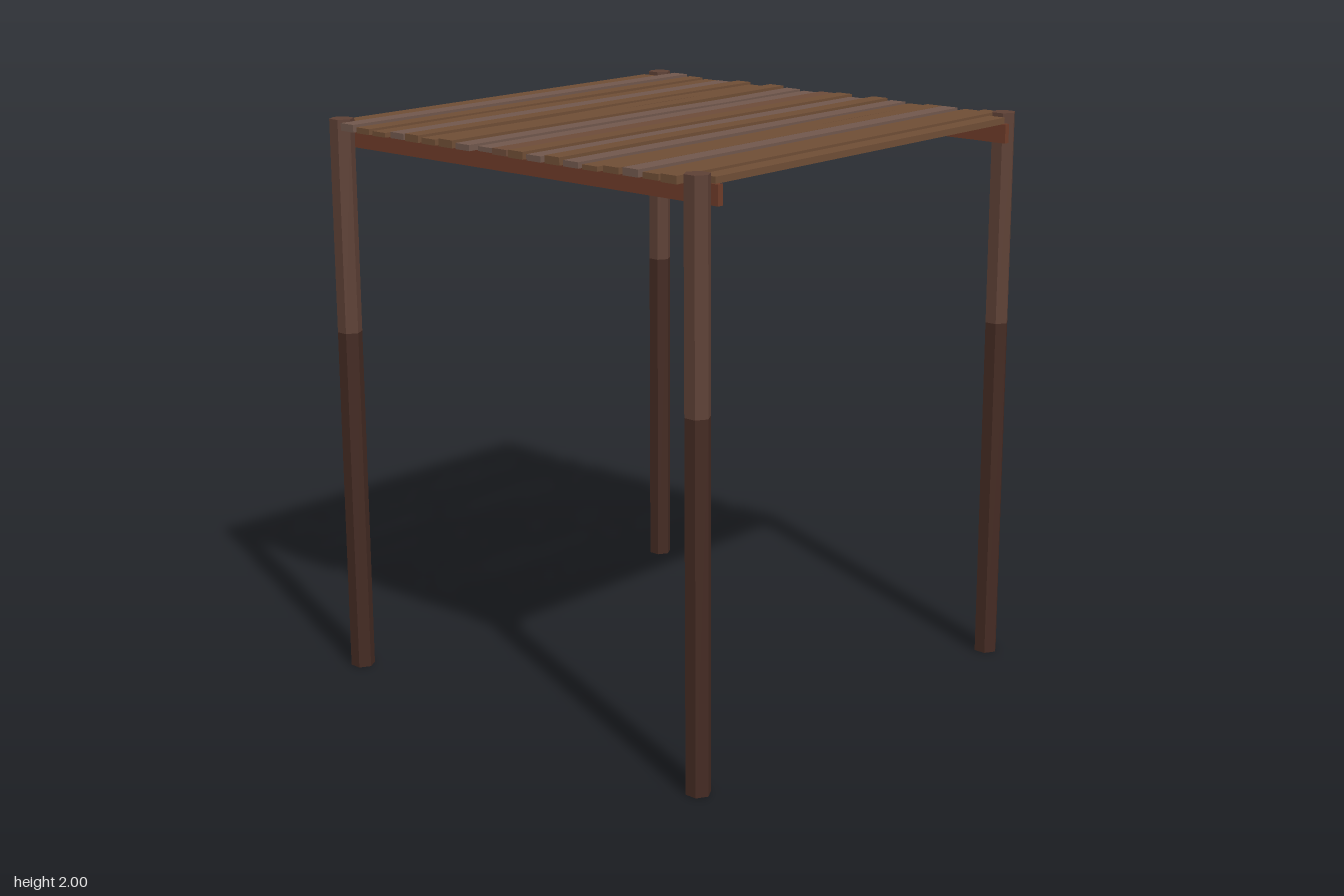
import * as THREE from 'three';

const mat = (color) => new THREE.MeshStandardMaterial({ color, flatShading: true });
const BROWN = mat(0x6e4d35), GREY = mat(0x70574c), UMBER = mat(0x6c4b39);
const POST_TOP = mat(0x5d4035), POST_BASE = mat(0x432a22), BEAM = mat(0x6d3b28);

function add(parent, name, geometry, material, x, y, z) {
  const mesh = new THREE.Mesh(geometry, material);
  mesh.name = name;
  mesh.position.set(x, y, z);
  parent.add(mesh);
  return mesh;
}

// Move every vertex of a geometry by a rule
function bend(geometry, rule) {
  const p = geometry.attributes.position;
  const v = new THREE.Vector3();
  for (let i = 0; i < p.count; i++) {
    v.fromBufferAttribute(p, i);
    rule(v);
    p.setXYZ(i, v.x, v.y, v.z);
  }
  geometry.computeVertexNormals();
  return geometry;
}

// Hexagonal post in a dark lower and a lighter upper section, leaning slightly
function post(parent, name, x, zBase, zTop) {
  const group = new THREE.Group();
  group.name = name;
  for (const [part, y0, y1, material] of [
    ['postBase', 0, 1.25, POST_BASE],
    ['postTop', 1.25, 2, POST_TOP],
  ]) {
    const h = y1 - y0, mid = (y0 + y1) / 2;
    const geo = bend(new THREE.CylinderGeometry(0.043, 0.043, h, 6, 1), (v) => {
      v.z += zBase + (zTop - zBase) * (v.y + mid) / 2;
    });
    add(group, part, geo, material, x, mid, 0);
  }
  parent.add(group);
}

export function createModel() {
  const model = new THREE.Group();
  model.name = 'pergola';

  // Four corner posts
  post(model, 'frontRightPost', -0.813, 0.811, 0.8);
  post(model, 'frontLeftPost', 0.81, 0.811, 0.8);
  post(model, 'backRightPost', -0.813, -0.811, -0.809);
  post(model, 'backLeftPost', 0.81, -0.811, -0.809);

  // Side rails along z, and one cross beam under the middle
  const rail = new THREE.BoxGeometry(0.022, 0.066, 1.7);
  add(model, 'rightRail', rail, BEAM, -0.765, 1.932, 0).rotation.x = -0.002;
  add(model, 'leftRail', rail, BEAM, 0.76, 1.932, 0).rotation.x = -0.002;
  add(model, 'crossBeam', new THREE.BoxGeometry(1.51, 0.058, 0.022), BEAM, 0, 1.935, 0)
    .rotation.z = 0.003;

  // Roof slats from back to front: some greyer, some cut short, some warped
  const greys = [1, 4, 8, 9, 12, 14, 17];
  const ends = {
    0: [-0.77, 0.765], 4: [-0.845, 0.832], 6: [-0.853, 0.83], 9: [-0.83, 0.853],
    10: [-0.845, 0.853], 12: [-0.853, 0.82], 16: [-0.845, 0.853],
    17: [-0.845, 0.832], 18: [-0.843, 0.853], 20: [-0.77, 0.765],
  };
  const warps = {
    3: (x) => -0.008 * Math.sin(4.5 * (0.05 - x)),
    6: (x) => 0.012 * Math.sin(4 * (-0.03 - x)),
    7: (x) => 0.007 * Math.cos(2.6 * x),
    8: (x) => 0.011 * Math.exp(-(((x - 0.5) / 0.25) ** 2)),
    13: (x) => -0.006 * Math.sin(3.6 * -x),
    15: (x) => 0.008 * Math.sin(4 * (0.15 - x)),
  };
  const thickness = [0.02, 0.025, 0.021, 0.016, 0.02, 0.026];
  const slats = new THREE.Group();
  slats.name = 'roofSlats';
  for (let i = 0; i < 21; i++) {
    const [x0, x1] = ends[i] || [-0.853, 0.853];
    const t = i % 20 === 0 ? 0.022 : thickness[(i * 5) % 6];
    const mid = (x0 + x1) / 2;
    const warp = warps[i];
    const geo = new THREE.BoxGeometry(x1 - x0, t, 0.064, warp ? 16 : 1, 1, 1);
    if (warp) {
      bend(geo, (v) => {
        const fade = 1 - Math.pow(Math.abs(v.x) / 0.853, 3);
        v.z += warp(v.x + mid) * fade;
      });
    }
    const material = greys.includes(i) ? GREY : i === 10 ? UMBER : BROWN;
    add(slats, 'slat', geo, material, mid, 1.966 + t / 2, -0.817 + i * 0.081);
  }
  model.add(slats);

  return model;
}
